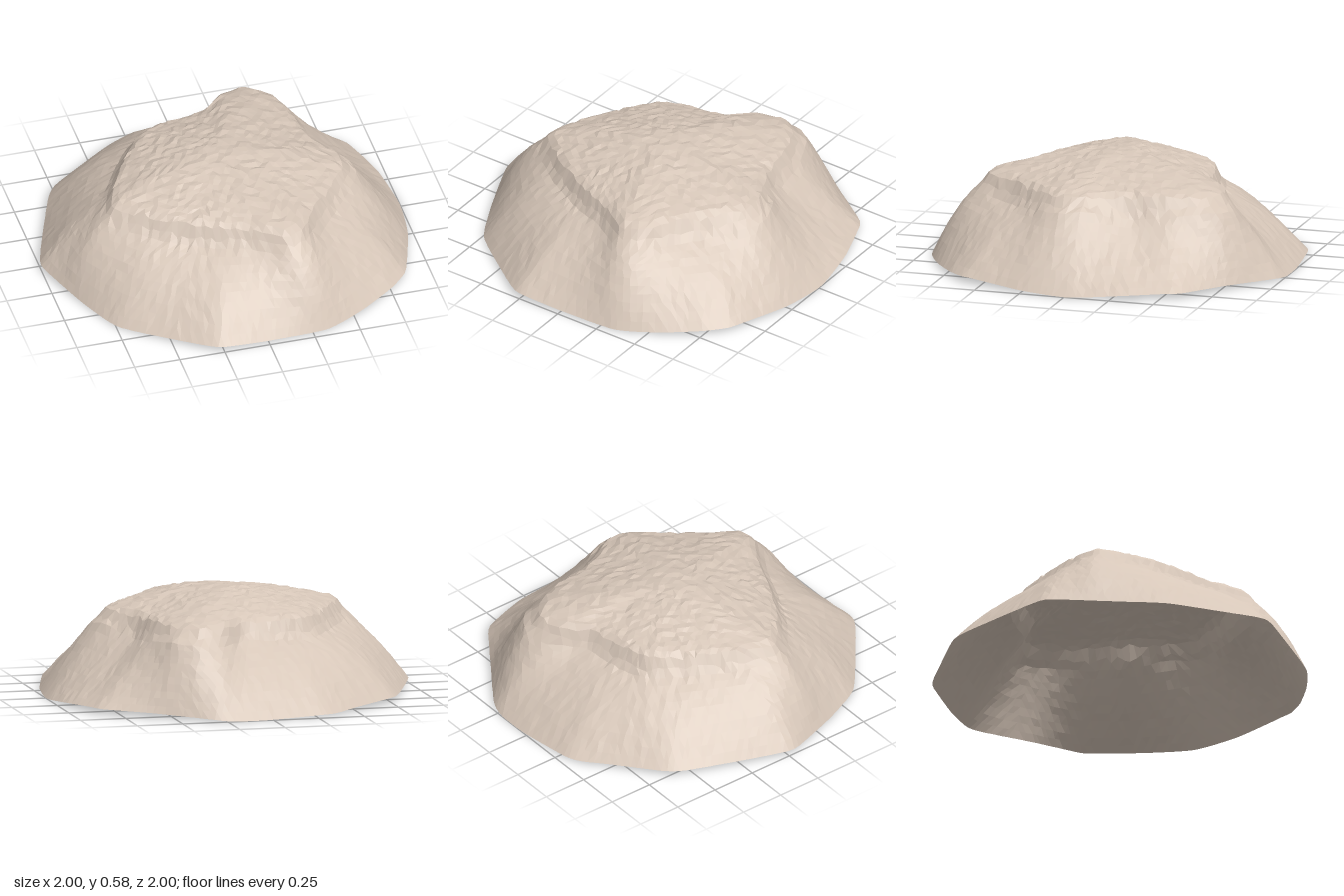
import * as THREE from 'three';

// Foot of the rock, clockwise seen from above: x, y, z
const FOOT = [
  [1, 0.01, -0.02], [0.97, 0.02, 0.25], [0.88, 0.04, 0.55], [0.85, 0.04, 0.62], [0.75, 0.035, 0.72], [0.55, 0.02, 0.85],
  [0.33, 0.01, 0.95], [0, 0.025, 0.985], [-0.21, 0.04, 0.998], [-0.3, 0.04, 0.98], [-0.5, 0.025, 0.83],
  [-0.74, 0.01, 0.63], [-0.86, 0.015, 0.4], [-0.95, 0.03, 0.18], [-1, 0.04, 0.02], [-0.93, 0.04, -0.2],
  [-0.8, 0.04, -0.54], [-0.73, 0.04, -0.64], [-0.5, 0.03, -0.82], [-0.37, 0.02, -0.92], [-0.28, 0.02, -0.96],
  [0.03, 0.01, -0.997], [0.22, 0.01, -0.998], [0.33, 0.02, -0.965], [0.6, 0.035, -0.78], [0.84, 0.04, -0.61],
  [0.89, 0.04, -0.51], [0.96, 0.03, -0.3],
];
// Lower edge of the plateau's lip: x, y, z
const RIM = [
  [0.69, 0.4, 0], [0.72, 0.39, 0.1], [0.69, 0.39, 0.2], [0.55, 0.36, 0.38], [0.43, 0.36, 0.53], [0.31, 0.37, 0.71],
  [0.2, 0.37, 0.74], [0, 0.37, 0.62], [-0.2, 0.36, 0.54], [-0.45, 0.37, 0.41], [-0.7, 0.38, 0.21],
  [-0.69, 0.39, 0.1], [-0.64, 0.38, -0.03], [-0.5, 0.37, -0.28], [-0.37, 0.36, -0.46], [-0.2, 0.36, -0.53],
  [0.05, 0.37, -0.58], [0.2, 0.37, -0.71], [0.34, 0.38, -0.74], [0.46, 0.39, -0.66], [0.55, 0.37, -0.45],
  [0.58, 0.35, -0.25], [0.64, 0.38, -0.1],
];
// Ring number i holds 6 * i points, which keeps the facets even
const TOP_RINGS = 20, RINGS = 30, PEAK = 0.588, DOME = 0.14;
const HOLLOW_ANGLE = -0.35;

// Returns a lookup of radius and height by angle around a closed outline
function outline(points) {
  const curve = new THREE.CatmullRomCurve3(points.map(p => new THREE.Vector3(...p)), true, 'catmullrom', 0.3);
  const samples = curve.getPoints(800).map(p => ({ a: Math.atan2(p.z, p.x), r: Math.hypot(p.x, p.z), y: p.y }));
  return angle => samples.reduce((best, s) => (gap(s.a, angle) < gap(best.a, angle) ? s : best));
}

// Smallest angle between two directions
function gap(a, b) {
  const d = Math.abs(a - b) % (Math.PI * 2);
  return Math.min(d, Math.PI * 2 - d);
}

// Repeatable noise from -1 to 1
function noise(i, j) {
  const n = Math.sin(i * 127.1 + j * 311.7) * 43758.5453;
  return 2 * (n - Math.floor(n)) - 1;
}

function shellGeometry() {
  const foot = outline(FOOT), rim = outline(RIM);
  const positions = [0, PEAK, 0], index = [];

  for (let i = 1; i <= RINGS; i++) {
    for (let j = 0; j < 6 * i; j++) {
      const jitter = i < RINGS ? noise(i + 40, j) * 0.25 : 0;
      const angle = ((j + jitter) / (6 * i)) * Math.PI * 2;
      const f = foot(angle), m = rim(angle);
      let r, y;
      if (i <= TOP_RINGS) {
        // Chipped plateau, sloping gently and then dropping over a narrow lip
        const s = (i + (i < TOP_RINGS ? noise(i, j + 9) * 0.25 : 0)) / TOP_RINGS;
        r = m.r * s;
        y = PEAK - DOME * s ** 1.6 - (PEAK - DOME - m.y) * THREE.MathUtils.smoothstep(s, 0.87, 1);
        y += noise(i, j) * 0.006;
      } else {
        // Sloping flank, bulging slightly except on the hollow side
        const t = (i - TOP_RINGS) / (RINGS - TOP_RINGS);
        const bulge = 0.035 - 0.045 * Math.exp(-((gap(angle, HOLLOW_ANGLE) / 0.8) ** 2));
        r = THREE.MathUtils.lerp(m.r, f.r, t);
        y = THREE.MathUtils.lerp(m.y, f.y, t) + bulge * Math.sin(Math.PI * t);
        if (i < RINGS) y += noise(i, j) * 0.003;
      }
      positions.push(r * Math.cos(angle), y, r * Math.sin(angle));
    }
  }

  // Join neighbouring rings sector by sector
  const id = (i, j) => (i === 0 ? 0 : 1 + 3 * i * (i - 1) + (j % (6 * i)));
  for (let i = 0; i < RINGS; i++) {
    for (let sector = 0; sector < 6; sector++) {
      for (let k = 0; k <= i; k++) {
        const inner = sector * i + k, outer = sector * (i + 1) + k;
        index.push(id(i, inner), id(i + 1, outer + 1), id(i + 1, outer));
        if (k < i) index.push(id(i, inner), id(i, inner + 1), id(i + 1, outer + 1));
      }
    }
  }
  const indexed = new THREE.BufferGeometry();
  indexed.setAttribute('position', new THREE.Float32BufferAttribute(positions, 3));
  indexed.setIndex(index);
  // Separate triangles give the faceted stone look
  const geometry = indexed.toNonIndexed();
  geometry.computeBoundingBox();
  geometry.translate(0, -geometry.boundingBox.min.y, 0);
  geometry.computeVertexNormals();
  return geometry;
}

export function createModel() {
  const stone = new THREE.MeshStandardMaterial({ color: 0xd6c6b8, side: THREE.DoubleSide });
  stone.name = 'pale stone';
  const shell = new THREE.Mesh(shellGeometry(), stone);
  shell.name = 'rockShell';
  const model = new THREE.Group();
  model.name = 'rock';
  model.add(shell);
  return model;
}
